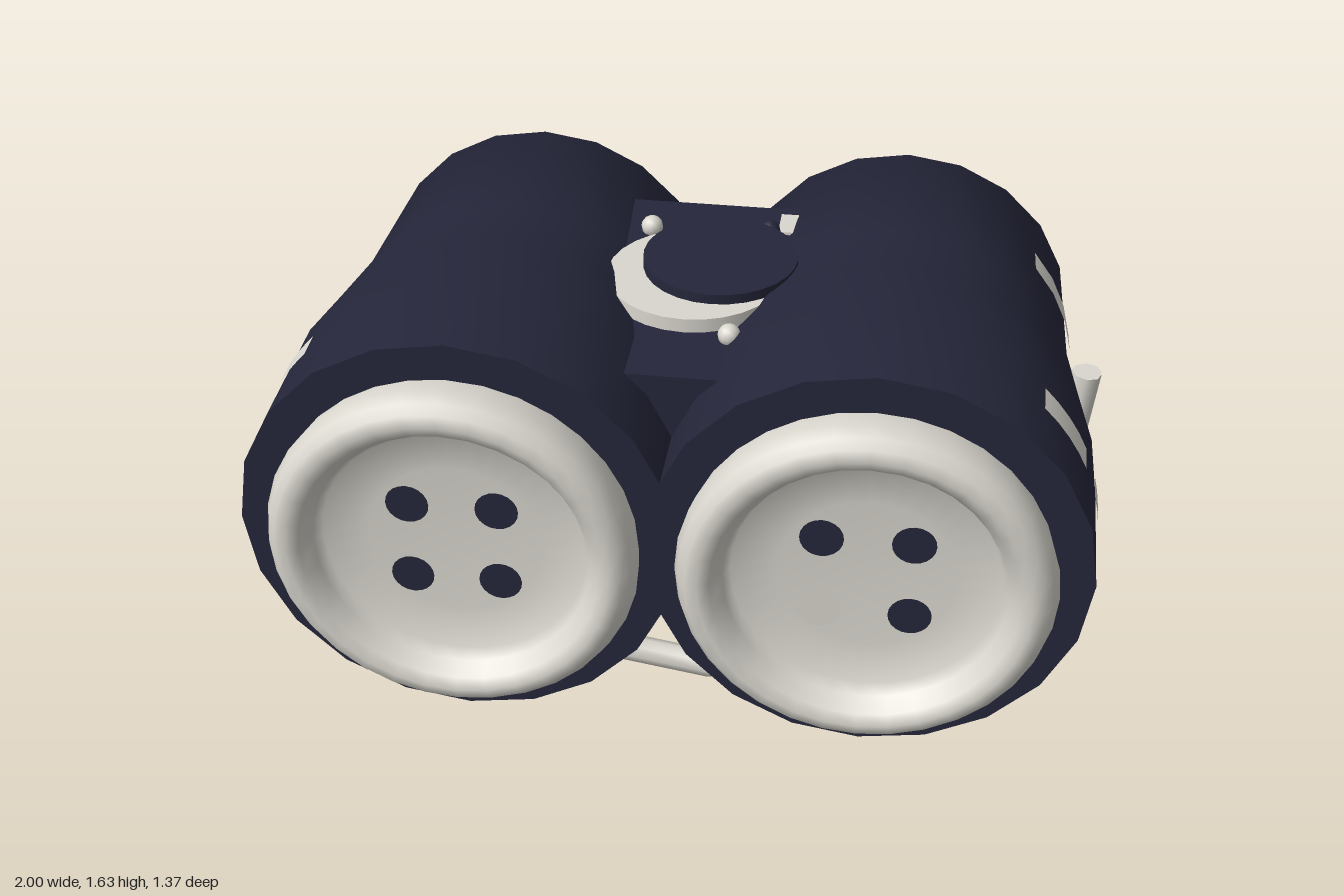
import * as THREE from 'three';
import { toCreasedNormals } from 'three/addons/utils/BufferGeometryUtils.js';

const rad = THREE.MathUtils.degToRad;

export function createModel() {
  const model = new THREE.Group();
  model.name = 'buttonBinoculars';
  const navy = new THREE.MeshStandardMaterial({ color: 0x25263a });
  navy.name = 'navy felt';
  const ivory = new THREE.MeshStandardMaterial({ color: 0xdad7cf });
  ivory.name = 'ivory thread';

  const add = (parent, name, geometry, material, x = 0, y = 0, z = 0) => {
    const mesh = new THREE.Mesh(geometry, material);
    mesh.name = name;
    mesh.position.set(x, y, z);
    parent.add(mesh);
    return mesh;
  };
  // Lathe turned about the z axis, profile given as [radius, z] pairs
  const turn = (profile, sides, start = 0, length = Math.PI * 2) =>
    new THREE.LatheGeometry(profile.map(p => new THREE.Vector2(...p)), sides, start, length)
      .rotateX(Math.PI / 2);

  const barrelGeo = toCreasedNormals(turn([[0, -0.66], [0.36, -0.66], [0.43, -0.6],
    [0.45, -0.17], [0.48, 0.03], [0.51, 0.22], [0.51, 0.565], [0, 0.565]], 20), 1);
  const buttonGeo = turn([[0.42, 0.56], [0.43, 0.62], [0.418, 0.655], [0.4, 0.677],
    [0.372, 0.685], [0.345, 0.672], [0.32, 0.635], [0.305, 0.605], [0.2, 0.588], [0, 0.588]], 32);
  const eyepieceGeo = new THREE.CylinderGeometry(0.215, 0.215, 0.03, 32).rotateX(Math.PI / 2);
  const holeGeo = new THREE.CircleGeometry(0.05, 20);

  // Stitch spans in degrees above the outward horizontal: front and rear rows
  const stitches = {
    left: {
      front: [[24, 45], [-2, 15], [-22, -12], [-45, -33], [-75, -57], [-100, -85]],
      rear: [[-3, 41], [-27, -12], [-62, -40], [-90, -78]],
    },
    right: {
      front: [[32, 44], [11, 23], [-12, -2], [-34, -24], [-75, -48], [-100, -87]],
      rear: [[-12, 26], [-48, -28], [-66, -56], [-95, -78]],
    },
  };

  for (const [side, s] of [['left', 1], ['right', -1]]) {
    const tube = new THREE.Group();
    tube.name = side + 'Tube';
    tube.position.set(0.47 * s, 1.12, 0);
    model.add(tube);
    add(tube, 'barrel', barrelGeo, navy);
    add(tube, 'eyepiece', eyepieceGeo, navy, 0, 0, -0.67);
    add(tube, 'buttonLens', buttonGeo, ivory);

    // Four thread holes, one still holding a knot
    for (const i of [-1, 1]) for (const j of [-1, 1]) {
      const knot = s === 1 && i === -1 && j === -1;
      add(tube, knot ? 'threadKnot' : 'buttonHole', holeGeo, knot ? ivory : navy, 0.103 * i, 0.1 * j, 0.6);
    }

    // Thread dashes wrapped round the barrel
    for (const [row, z0, z1, r0, r1] of [['front', 0.33, 0.41, 0.512, 0.512], ['rear', -0.39, -0.31, 0.443, 0.447]]) {
      for (const [a0, a1] of stitches[side][row]) {
        const start = rad(s === 1 ? a0 : 180 - a1) + Math.PI / 2;
        add(tube, row + 'Stitch', turn([[r0, z0], [r1, z1]], 4, start, rad(a1 - a0)), ivory);
      }
    }
  }

  // Tapered bridge joining the tubes
  const plan = new THREE.Shape([[-0.24, 0.42], [-0.13, -0.38], [0.13, -0.38], [0.24, 0.42]]
    .map(p => new THREE.Vector2(...p)));
  const bridgeGeo = new THREE.ExtrudeGeometry(plan, { depth: 0.2, bevelEnabled: false }).rotateX(-Math.PI / 2);
  add(model, 'bridge', bridgeGeo, navy, 0, 1.27, 0);

  // Focus knob: ivory base with a navy cap set off centre
  add(model, 'knobBase', new THREE.CylinderGeometry(0.21, 0.21, 0.04, 28), ivory, 0, 1.485, -0.02);
  add(model, 'knobCap', new THREE.CylinderGeometry(0.185, 0.185, 0.03, 28), navy, 0.055, 1.515, -0.07);
  add(model, 'bridgePatch', new THREE.BoxGeometry(0.06, 0.009, 0.09), ivory, 0.2, 1.473, -0.335);
  const beadGeo = new THREE.SphereGeometry(0.027, 12, 8);
  add(model, 'bead', beadGeo, ivory, -0.14, 1.485, -0.265);
  add(model, 'bead', beadGeo, navy, 0.15, 1.485, -0.28);
  add(model, 'bead', beadGeo, ivory, 0.11, 1.485, 0.21);

  // Cord strap hanging in a half ellipse, with closed ends
  const points = [];
  for (let i = 0; i <= 12; i++) {
    const a = Math.PI + i * Math.PI / 12;
    points.push(new THREE.Vector3(0.961 * Math.cos(a), 1.12 + 1.081 * Math.sin(a), -0.315));
  }
  const cord = new THREE.CatmullRomCurve3(points);
  add(model, 'strap', new THREE.TubeGeometry(cord, 12, 0.039, 8), ivory);
  const endGeo = new THREE.CircleGeometry(0.039, 8).rotateX(-Math.PI / 2);
  for (const s of [-1, 1]) add(model, 'strapEnd', endGeo, ivory, 0.961 * s, 1.12, -0.315);

  return model;
}
